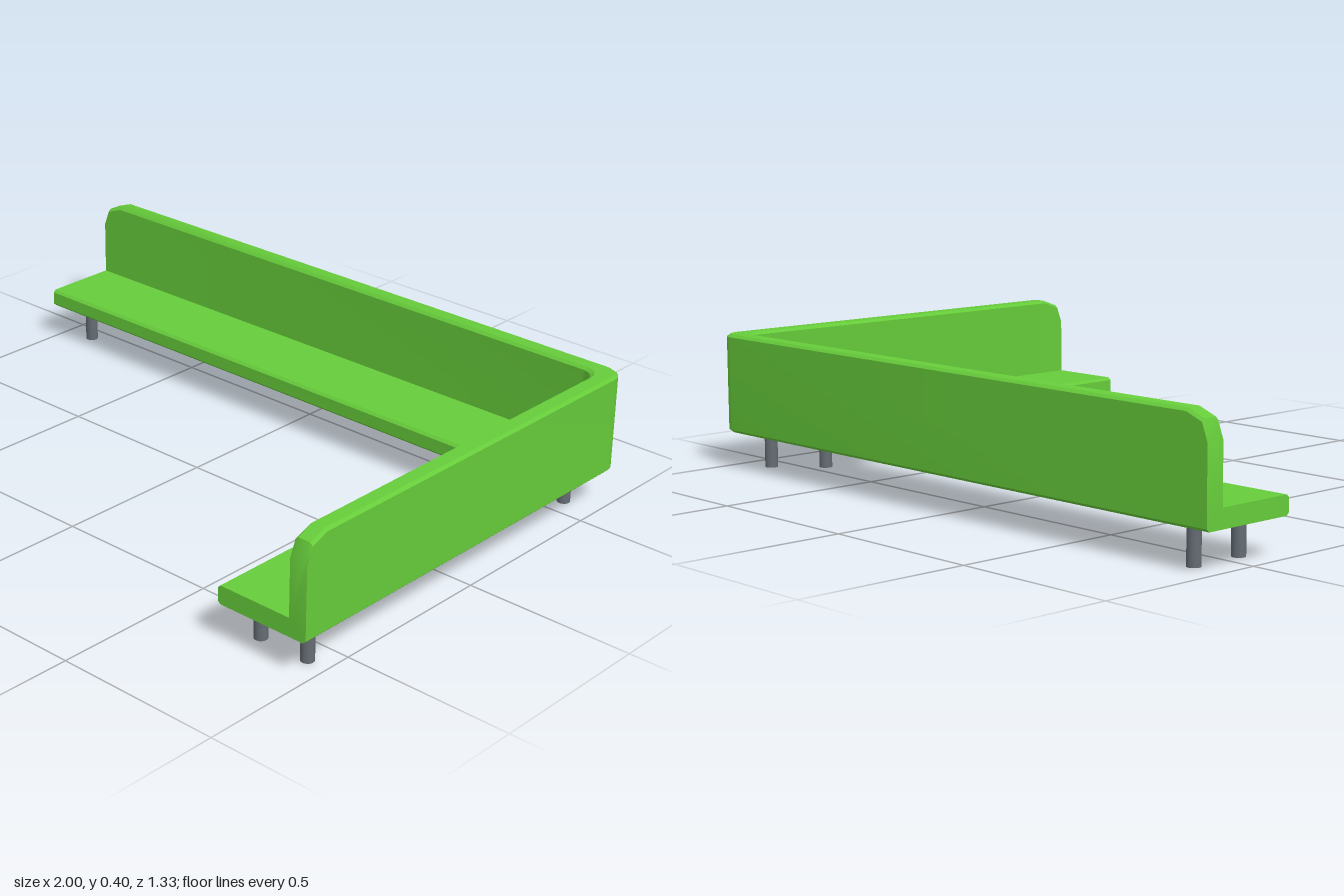
import * as THREE from 'three';
import { toCreasedNormals } from 'three/addons/utils/BufferGeometryUtils.js';

const HALF_Z = 0.665, BACK = 0.055, DEPTH = 0.293, BEVEL = 0.008, RADIUS = 0.05;
const BOTTOM = 0.108, SEAT = 0.162, TOP = 0.402;

// Cross-section of seat and backrest: [distance from the outer face, height]
function profile(top) {
  const b = BEVEL;
  return [
    [b, BOTTOM], [0, BOTTOM + b], [0, top - b], [b, top],
    [BACK - b, top], [BACK, top - b], [BACK, SEAT],
    [DEPTH - b, SEAT], [DEPTH, SEAT - b], [DEPTH, BOTTOM + b], [DEPTH - b, BOTTOM],
  ];
}

// Stations along the L: clipped free end, rounded corner, clipped free end
function stations() {
  const ends = [[0, 0.335], [0.018, 0.382], [0.072, TOP]];
  const list = ends.map(([s, top]) => ({ top, at: d => [-1 + s, -HALF_Z + d] }));
  const steps = 6;
  for (let i = 0; i <= steps; i++) {
    const t = (i / steps) * Math.PI / 2;
    list.push({
      top: TOP,
      at: d => [1 - d - RADIUS + RADIUS * Math.sin(t), -HALF_Z + d + RADIUS - RADIUS * Math.cos(t)],
    });
  }
  for (const [s, top] of ends.slice().reverse()) list.push({ top, at: d => [1 - d, HALF_Z - s] });
  return list;
}

function benchGeometry() {
  const positions = [], index = [];
  const list = stations();
  const n = profile(TOP).length;
  for (const { top, at } of list) {
    for (const [d, y] of profile(top)) {
      const [x, z] = at(d);
      positions.push(x, y, z);
    }
  }
  for (let i = 0; i < list.length - 1; i++) {
    for (let j = 0; j < n; j++) {
      const k = (j + 1) % n;
      const a = i * n + j, b = i * n + k, c = b + n, e = a + n;
      index.push(a, b, c, a, c, e);
    }
  }
  // End caps fan out from the inner crease, which sees the whole section
  const hub = 6, last = (list.length - 1) * n;
  for (let s = 1; s < n - 1; s++) {
    const k = (hub + s) % n, m = (k + 1) % n;
    index.push(hub, m, k, last + hub, last + k, last + m);
  }
  const geometry = new THREE.BufferGeometry();
  geometry.setAttribute('position', new THREE.Float32BufferAttribute(positions, 3));
  geometry.setIndex(index);
  return toCreasedNormals(geometry, 0.5);
}

export function createModel() {
  const group = new THREE.Group();
  group.name = 'cornerBench';

  const green = new THREE.MeshStandardMaterial({ color: 0x66cc3a });
  green.name = 'green upholstery';
  const grey = new THREE.MeshStandardMaterial({ color: 0x646c73 });
  grey.name = 'grey metal';

  // Seat and backrest
  const bench = new THREE.Mesh(benchGeometry(), green);
  bench.name = 'seatAndBackrest';
  group.add(bench);

  // Legs: a pair at each free end and a pair across the corner
  const legHeight = BOTTOM + 0.002;
  const legGeometry = new THREE.CylinderGeometry(0.019, 0.019, legHeight, 20);
  const spots = [
    [-0.9, -0.605], [-0.9, -0.445],
    [0.895, -0.565], [0.78, -0.45],
    [0.935, 0.58], [0.778, 0.58],
  ];
  spots.forEach(([x, z], i) => {
    const leg = new THREE.Mesh(legGeometry, grey);
    leg.name = `leg${i + 1}`;
    leg.position.set(x, legHeight / 2, z);
    group.add(leg);
  });

  return group;
}
